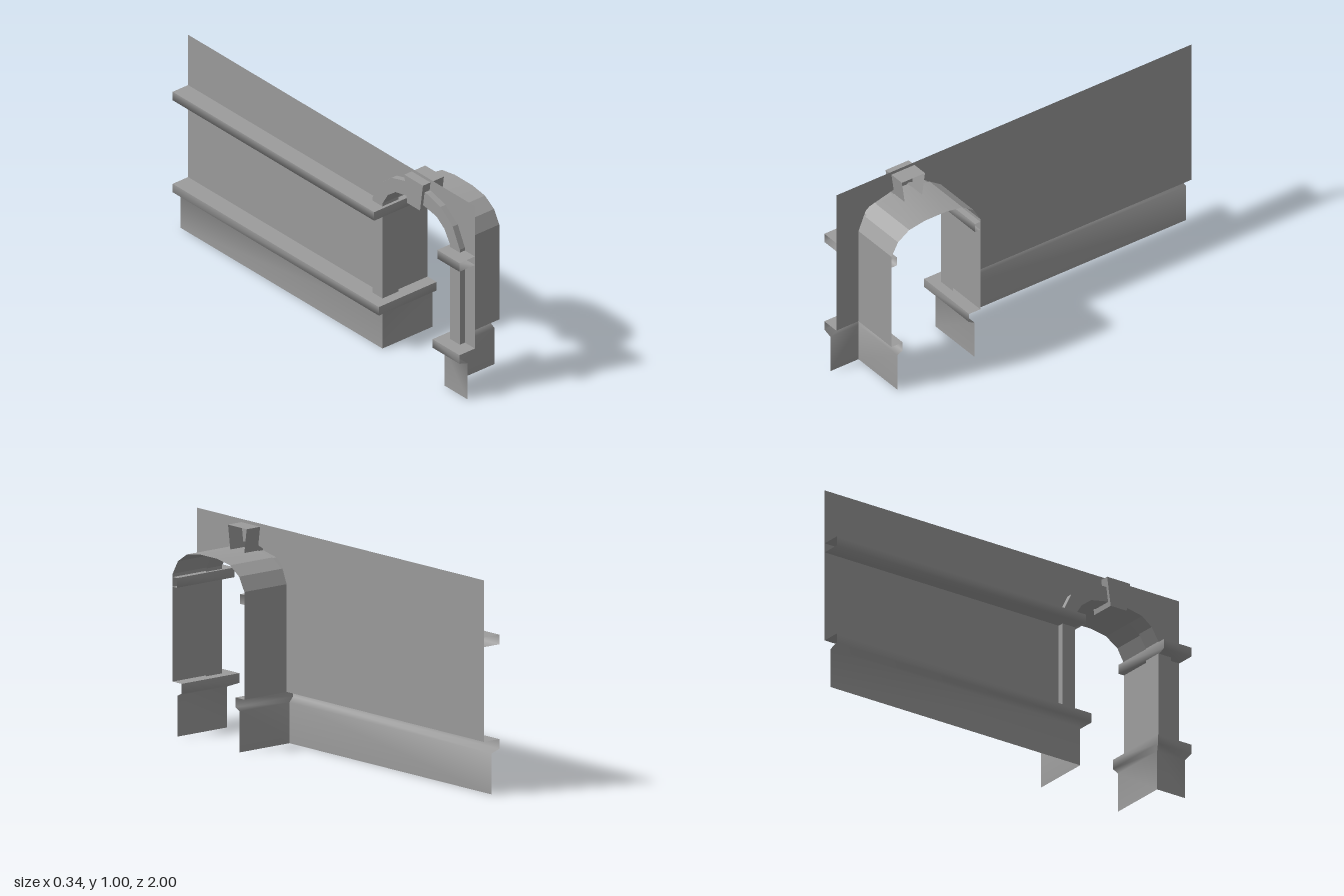
import * as THREE from 'three';
import { toCreasedNormals } from 'three/addons/utils/BufferGeometryUtils.js';

const WALL_X = -0.08, REVEAL_X = 0.172;     // wall plane and inner end of the passage
const ARCH_Z = 0.625, HALF = 0.25, SPRING = 0.75;

const flat = new THREE.MeshStandardMaterial({ color: 0x9c9c9c, flatShading: true, side: THREE.DoubleSide });
const smooth = new THREE.MeshStandardMaterial({ color: 0x9c9c9c, side: THREE.DoubleSide });

function mesh(name, geometry, material = flat) {
  const m = new THREE.Mesh(geometry, material);
  m.name = name;
  return m;
}

function named(name, ...parts) {
  const g = new THREE.Group();
  g.name = name;
  return g.add(...parts);
}

// Surface through equally long rows of [x, y, z] points
function sheet(rows) {
  const n = rows[0].length, index = [];
  for (let i = 0; i < rows.length - 1; i++) {
    for (let j = 0; j < n - 1; j++) {
      const a = i * n + j, b = a + n;
      index.push(a, b, a + 1, b, b + 1, a + 1);
    }
  }
  const g = new THREE.BufferGeometry();
  g.setAttribute('position', new THREE.Float32BufferAttribute(rows.flat(2), 3));
  g.setIndex(index);
  g.computeVertexNormals();
  return g;
}

// Place a [z, y] outline at one x
const at = (x, outline) => outline.map(([z, y]) => [x, y, z]);

// Flat face of a [z, y] outline, looking along -x
const face = (outline, x) => new THREE.ShapeGeometry(
  new THREE.Shape(outline.map(([z, y]) => new THREE.Vector2(z, y)))).rotateY(-Math.PI / 2).translate(x, 0, 0);

// Mirror a half outline of [distance from the arch axis, y] into a whole arch
const arch = (half) => [
  ...half.map(([d, y]) => [ARCH_Z + d, y]),
  ...half.map(([d, y]) => [ARCH_Z - d, y]).reverse(),
];

// Moulding along the wall, mitred round the jamb into the passage.
// Profile points: [projection from wall, projection from jamb, y]
function moulding(name, profile, side) {
  const jamb = ARCH_Z + side * HALF;
  const rows = profile.map(([dx, dz, y]) => [
    [WALL_X - dx, y, side],
    [WALL_X - dx, y, jamb - side * dz],
    [REVEAL_X, y, jamb - side * dz],
  ]);
  // The top is flat; each leg below it is shaded softly down the profile
  const leg = (i) => sheet(rows.slice(1).map((row) => row.slice(i, i + 2)));
  return named(name,
    mesh(name + 'Top', sheet(rows.slice(0, 2))),
    mesh(name + 'WallFace', leg(0), smooth),
    mesh(name + 'JambFace', leg(1), smooth));
}

const BASE = [[0, 0, 0.25], [0.092, 0.063, 0.25], [0.092, 0.063, 0.205], [0.045, 0.033, 0.19], [0.045, 0.033, 0]];
const IMPOST = [[0, 0, 0.735], [0.092, 0.03, 0.735], [0.092, 0.03, 0.69], [0, 0, 0.69]];

export function createModel() {
  const group = new THREE.Group();
  group.name = 'archedWall';

  // Wall sheet with a coarse arched opening
  const opening = arch([[HALF, 0.25], [HALF, SPRING], [0.205, 0.857], [0, 0.91]]);
  group.add(mesh('wall', face([[-1, 1], [1, 1], [1, 0.25], ...opening, [-1, 0.25]], WALL_X)));

  // Vault over the passage
  const vault = arch([[HALF, SPRING], [0.213, 0.815], [0.15, 0.857], [0.06, 0.872]]);
  group.add(mesh('vault', toCreasedNormals(sheet([at(WALL_X, vault), at(REVEAL_X, vault)]), 0.4), smooth));

  // Raised surround: pilasters and arch band, open at the back
  const outer = arch([[0.305, 0.25], [0.305, SPRING], [0.255, 0.85], [0.17, 0.915], [0.075, 0.941]]);
  const inner = arch([[0.235, 0.25], [0.235, SPRING], [0.197, 0.812], [0.143, 0.852], [0.057, 0.869]]);
  group.add(mesh('surround', sheet([at(WALL_X, outer), at(-0.11, outer), at(-0.11, inner), at(-0.015, inner)])));

  // Tapered keystone, open at the back
  const stone = [[0.58, 0.845], [0.67, 0.845], [0.69, 0.985], [0.56, 0.985]];
  const loop = [...stone, stone[0]];
  group.add(named('keystone',
    mesh('keystoneFace', face(stone, -0.125)),
    mesh('keystoneSides', sheet([at(-0.125, loop), at(0, loop)]))));

  // Both sides of the opening
  for (const side of [-1, 1]) {
    const name = side > 0 ? 'front' : 'back';
    const z = ARCH_Z + side * HALF;
    group.add(
      mesh(name + 'Jamb', sheet([at(WALL_X, [[z, 0.25], [z, SPRING]]), at(REVEAL_X, [[z, 0.25], [z, SPRING]])])),
      moulding(name + 'Base', BASE, side),
      moulding(name + 'Impost', IMPOST, side));
  }
  return group;
}
